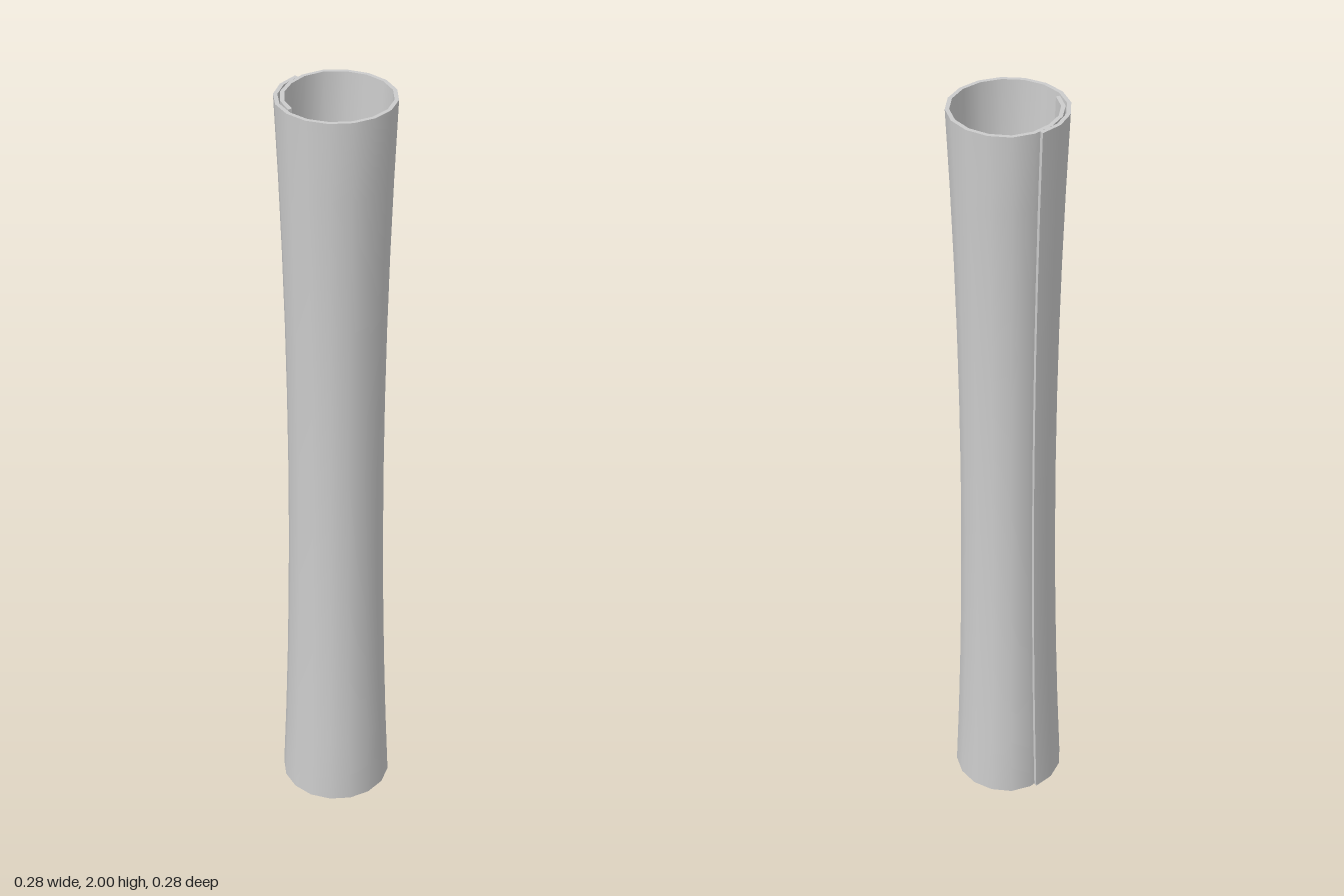
import * as THREE from 'three';
import { toCreasedNormals } from 'three/addons/utils/BufferGeometryUtils.js';

const STEPS = 20;        // facets along the rolled sheet, a little over one turn
const ROWS = 10;         // facets along the height
const HEIGHT = 2;
const THICKNESS = 0.01;
const STEP_ANGLE = THREE.MathUtils.degToRad(22.1);
const START_ANGLE = THREE.MathUtils.degToRad(186);

// Outer radius of the sheet at the rims: nearly round, then tucked under its own flap
function sheetRadius(k) {
  if (k <= 15) return 0.1435 - 0.0015 * Math.min(k / 4, 1);
  return [0.137, 0.131, 0.129, 0.128, 0.127][k - 16];
}

// Rolled sheet with thickness, narrowing smoothly towards the middle of its height
function rolledSheet() {
  const positions = [];
  const index = [];
  const loop = 2 * (STEPS + 1);

  for (let r = 0; r <= ROWS; r++) {
    const t = (2 * r) / ROWS - 1;
    const waist = 0.84 + 0.16 * t * t;
    for (let i = 0; i < loop; i++) {
      const outer = i <= STEPS;
      const k = outer ? i : loop - 1 - i;
      const radius = sheetRadius(k) * waist - (outer ? 0 : THICKNESS);
      const a = START_ANGLE - k * STEP_ANGLE;
      positions.push(radius * Math.cos(a), (HEIGHT * r) / ROWS, radius * Math.sin(a));
    }
  }

  // Outer face, inner face and the two long edges
  for (let r = 0; r < ROWS; r++) {
    for (let i = 0; i < loop; i++) {
      const j = (i + 1) % loop;
      const a = r * loop + i, b = r * loop + j;
      index.push(a, b, b + loop, a, b + loop, a + loop);
    }
  }

  // Bottom and top rims
  const top = ROWS * loop;
  for (let k = 0; k < STEPS; k++) {
    const o0 = k, o1 = k + 1, i0 = loop - 1 - k, i1 = loop - 2 - k;
    index.push(top + o0, top + o1, top + i1, top + o0, top + i1, top + i0);
    index.push(o0, i1, o1, o0, i0, i1);
  }

  const geometry = new THREE.BufferGeometry();
  geometry.setAttribute('position', new THREE.Float32BufferAttribute(positions, 3));
  geometry.setIndex(index);
  return toCreasedNormals(geometry, 0.7);
}

export function createModel() {
  const group = new THREE.Group();
  group.name = 'scroll';
  const sheet = new THREE.Mesh(
    rolledSheet(),
    new THREE.MeshStandardMaterial({ color: 0xcccccc })
  );
  sheet.name = 'rolledSheet';
  group.add(sheet);
  return group;
}
